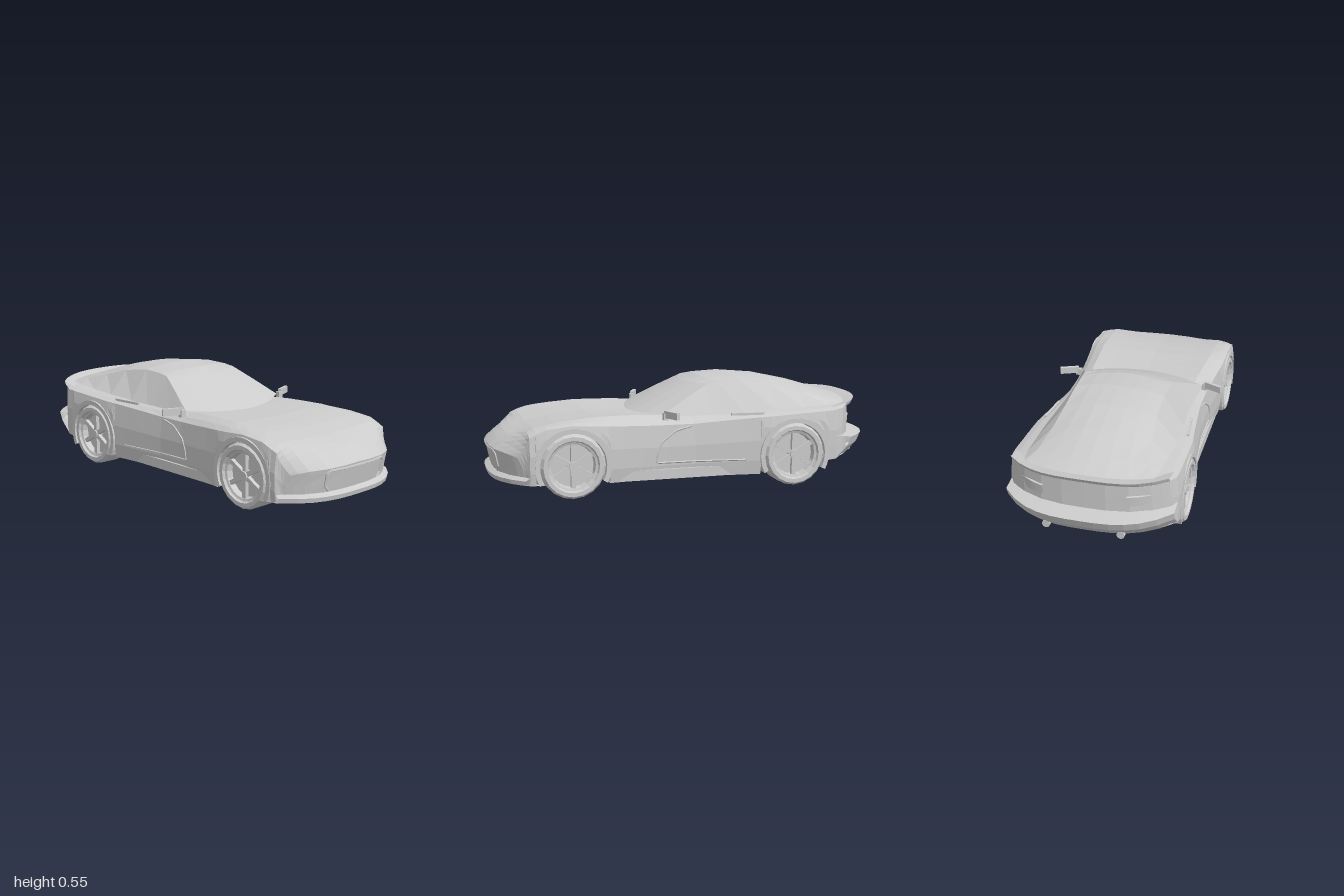
import * as THREE from 'three';

const mat = new THREE.MeshStandardMaterial({ color: 0xcccccc, flatShading: true, side: THREE.DoubleSide });
const WHEELS = [{ z: 0.62, out: 0.402 }, { z: -0.52, out: 0.417 }];
const AXLE = 0.16, ARCH = 0.18;

// Piecewise linear lookup in [key, value] pairs, keys ascending
function lookup(table, k) {
  if (k <= table[0][0]) return table[0][1];
  for (let i = 1; i < table.length; i++) {
    const [k0, v0] = table[i - 1], [k1, v1] = table[i];
    if (k <= k1) return v0 + (v1 - v0) * (k - k0) / (k1 - k0);
  }
  return table[table.length - 1][1];
}

// Body curves along the length (z, value)
const WIDTH = [[-0.92, 0.385], [-0.82, 0.405], [-0.7, 0.415], [-0.4, 0.412], [-0.2, 0.388], [0, 0.368], [0.15, 0.368],
  [0.35, 0.383], [0.5, 0.398], [0.78, 0.4], [0.88, 0.39], [0.995, 0.36]];
const CENTRE = [[-0.92, 0.4], [-0.3, 0.37], [0.27, 0.37], [0.5, 0.372], [0.65, 0.36], [0.8, 0.33], [0.9, 0.3], [0.96, 0.265], [0.995, 0.235]];
const RIDGE = [[-0.92, 0.405], [-0.7, 0.395], [-0.2, 0.375], [0.15, 0.375], [0.3, 0.385], [0.5, 0.385], [0.68, 0.37], [0.8, 0.345], [0.9, 0.295], [0.995, 0.225]];
const SHOULDER = [[-0.92, 0.385], [-0.7, 0.375], [-0.3, 0.355], [0, 0.335], [0.2, 0.335], [0.45, 0.347], [0.62, 0.358], [0.75, 0.345], [0.85, 0.3], [0.995, 0.21]];
const FLOOR = [[-0.92, 0.14], [-0.7, 0.12], [-0.34, 0.066], [0.44, 0.066], [0.8, 0.075], [0.995, 0.08]];
const FRACS = [1, 0.92, 0.8, 0.55, 0.27, 0, -0.27, -0.55, -0.8, -0.92, -1];

// Rounds nose and tail in plan and leans the nose face back
function warp(x, y, z) {
  let w = z;
  if (z > 0.83) w -= (z - 0.83) * Math.pow(Math.abs(x) / 0.4, 3);
  if (z > 0.9) w -= Math.max(0, 0.23 - y) * 0.2 * (z - 0.9) / 0.095;
  if (z < -0.75) w += (-0.75 - z) * 0.9 * Math.pow(Math.abs(x) / 0.41, 3);
  return [x, y, w];
}

function sideX(z, y) {
  const sh = lookup(SHOULDER, z);
  return lookup(WIDTH, z) - lookup([[0.065, 0.012], [0.13, 0.002], [0.2, 0], [sh - 0.06, 0], [sh, 0.012]], y);
}

function inArch(z) {
  return WHEELS.find(w => Math.abs(z - w.z) < ARCH + 0.0005);
}

function sideRows(z) {
  const w = inArch(z), sh = lookup(SHOULDER, z);
  const low = w ? AXLE + Math.sqrt(Math.max(0, ARCH ** 2 - (z - w.z) ** 2)) : lookup(FLOOR, z);
  return [0, 0.25, 0.6, 1].map(t => { const y = low + (sh - low) * t; return [sideX(z, y), y]; });
}

function topRow(z) {
  const sh = lookup(SHOULDER, z), c = lookup(CENTRE, z), r = lookup(RIDGE, z), x = sideX(z, sh);
  return FRACS.map(f => [f * x, lookup([[0, c], [0.5, c + (r - c) * 0.4], [0.85, r], [1, sh]], Math.abs(f))]);
}

function section(z) {
  const side = sideRows(z).slice(0, 3);
  return [...side, ...topRow(z), ...side.reverse().map(([x, y]) => [-x, y])].map(([x, y]) => warp(x, y, z));
}

// Surface through rows of points
function grid(rows, name) {
  const n = rows[0].length, index = [];
  for (let i = 0; i < rows.length - 1; i++) for (let j = 0; j < n - 1; j++) {
    const a = i * n + j, b = a + 1, d = a + n, c = d + 1;
    index.push(a, b, c, a, c, d);
  }
  const g = new THREE.BufferGeometry();
  g.setAttribute('position', new THREE.Float32BufferAttribute(rows.flat(2), 3));
  g.setIndex(index);
  g.computeVertexNormals();
  return mesh(g, name);
}

function mesh(geometry, name, pos = [0, 0, 0]) {
  const m = new THREE.Mesh(geometry, mat);
  m.name = name;
  m.position.set(...pos);
  return m;
}

// Profile of [z, y] points swept across the car along the rounded nose or tail
function band(name, profile, x0, x1, droop = 0) {
  const rows = [];
  for (let i = 0; i <= 12; i++) {
    const x = x0 + (x1 - x0) * i / 12, k = Math.abs(x) / 0.41;
    rows.push([...profile, profile[0]].map(([z, y]) => [x, y - droop * k * k, z - Math.sign(z) * 0.17 * k ** 3]));
  }
  return grid(rows, name);
}

function tube(points, radius, name) {
  const path = new THREE.CurvePath();
  for (let i = 1; i < points.length; i++) path.add(new THREE.LineCurve3(new THREE.Vector3(...points[i - 1]), new THREE.Vector3(...points[i])));
  return mesh(new THREE.TubeGeometry(path, points.length * 8, radius, 5), name);
}

function wheel() {
  const g = new THREE.Group();
  const profile = [[0, -0.07], [0.145, -0.07], [0.16, -0.055], [0.16, 0.052], [0.148, 0.068], [0.128, 0.068],
    [0.122, 0.056], [0.11, 0.052], [0.106, 0.02], [0, 0.02]].map(p => new THREE.Vector2(...p));
  g.add(mesh(new THREE.LatheGeometry(profile, 20), 'tyreAndRim'));
  g.add(mesh(new THREE.CylinderGeometry(0.022, 0.028, 0.04, 10), 'hub', [0, 0.035, 0]));
  for (let i = 0; i < 6; i++) {
    const a = i * Math.PI / 3;
    const s = mesh(new THREE.BoxGeometry(0.1, 0.02, 0.022), 'spoke', [0.06 * Math.cos(a), 0.038, -0.06 * Math.sin(a)]);
    s.rotation.y = a;
    g.add(s);
  }
  g.rotation.z = -Math.PI / 2;
  const holder = new THREE.Group();
  holder.add(g);
  return holder;
}

export function createModel() {
  const car = new THREE.Group();
  car.name = 'sportsCar';

  // Body shell, with stations packed around the wheel arches
  const zs = [-0.91, -0.86, -0.8, -0.75, -0.25, -0.12, 0, 0.15, 0.27, 0.36, 0.83, 0.87, 0.91, 0.95, 0.98, 0.995];
  for (const w of WHEELS) {
    zs.push(w.z - ARCH - 0.002, w.z + ARCH + 0.002);
    for (let i = 0; i <= 8; i++) zs.push(w.z + ARCH * Math.cos(i * Math.PI / 8));
  }
  zs.sort((a, b) => a - b);
  car.add(grid(zs.map(section), 'body'));
  const cap = z => [...sideRows(z).map(([x, y]) => FRACS.map(f => warp(f * x, y, z))), topRow(z).map(([x, y]) => warp(x, y, z))];
  car.add(grid(cap(zs[zs.length - 1]).reverse(), 'noseFace'), grid(cap(zs[0]), 'tailFace'));
  car.add(grid(zs.map(z => {
    const y = lookup(FLOOR, z), x = inArch(z) ? 0.27 : sideX(z, y);
    return FRACS.map(f => warp(f * x, y, z));
  }).reverse(), 'floor'));

  // Cabin: centre z, centre y, roof edge x y z, base x y z
  const cabin = [
    [0.27, 0.37, 0.325, 0.385, 0.15, 0.335, 0.37, 0.15],
    [0.12, 0.443, 0.28, 0.452, 0.025, 0.325, 0.37, 0.025],
    [-0.03, 0.512, 0.236, 0.515, -0.1, 0.32, 0.37, -0.1],
    [-0.11, 0.54, 0.23, 0.524, -0.16, 0.32, 0.37, -0.16],
    [-0.27, 0.551, 0.226, 0.528, -0.28, 0.328, 0.372, -0.28],
    [-0.45, 0.535, 0.23, 0.503, -0.45, 0.335, 0.38, -0.45],
    [-0.62, 0.498, 0.245, 0.462, -0.6, 0.335, 0.385, -0.6],
    [-0.78, 0.45, 0.27, 0.425, -0.75, 0.335, 0.39, -0.74],
    [-0.91, 0.41, 0.31, 0.4, -0.84, 0.335, 0.39, -0.82]];
  car.add(grid(cabin.map(([cz, cy, ex, ey, ez, bx, by, bz]) => {
    const roof = f => [ex * f, cy + (ey - cy) * f * f, cz + (ez - cz) * f * f];
    const half = [[bx, by, bz], roof(1), roof(0.66), roof(0.33)];
    return [...half, roof(0), ...half.slice().reverse().map(([x, y, z]) => [-x, y, z])];
  }).reverse(), 'cabin'));

  // Nose and tail trim
  car.add(band('frontSplitter', [[0.92, 0.118], [0.975, 0.116], [1, 0.102], [0.995, 0.08], [0.9, 0.075]], -0.39, 0.39));
  car.add(band('rearBumper', [[-0.86, 0.25], [-0.91, 0.248], [-1, 0.235], [-0.98, 0.19], [-0.92, 0.132], [-0.84, 0.13]], -0.408, 0.408));
  car.add(band('tailLip', [[-0.86, 0.406], [-0.953, 0.428], [-0.942, 0.408], [-0.9, 0.38]], -0.38, 0.38, 0.02));
  const half = [[0.175, 0.12], [0.198, 0.145], [0.198, 0.205], [0.185, 0.22], [0.1, 0.22], [0, 0.22]];
  const frame = [...half, ...half.slice(0, -1).reverse().map(([x, y]) => [-x, y])].map(([x, y]) => {
    const p = warp(x, y, 0.995);
    return [p[0], p[1], p[2] + 0.001];
  });
  car.add(tube(frame, 0.006, 'grilleFrame'));

  for (const s of [1, -1]) {
    const lights = [[-0.9, 0.335], [-0.922, 0.33], [-0.918, 0.28], [-0.9, 0.275]];
    car.add(band('tailLight', lights, s * 0.2, s * 0.36));
    const pipe = mesh(new THREE.CylinderGeometry(0.02, 0.02, 0.1, 8), 'exhaust', [s * 0.18, 0.138, -0.88]);
    pipe.rotation.x = Math.PI / 2;
    car.add(pipe);

    // Side trim: fender vent line, sill, handle
    const vent = [[0.02, 0.325], [0.1, 0.305], [0.17, 0.255], [0.195, 0.2], [0.2, 0.15], [0, 0.147], [-0.26, 0.145]];
    car.add(tube(vent.map(([z, y]) => [s * sideX(z, y), y, z]), 0.005, 'fenderVent'));
    car.add(mesh(new THREE.BoxGeometry(0.04, 0.05, 0.76), 'sill', [s * 0.356, 0.092, 0.055]));
    const handle = mesh(new THREE.BoxGeometry(0.012, 0.012, 0.17), 'doorHandle', [s * 0.358, 0.372, -0.28]);
    handle.rotation.y = -s * 0.1;
    car.add(handle);

    // Door mirror
    const mirror = mesh(new THREE.BoxGeometry(0.1, 0.035, 0.018), 'mirror', [s * 0.398, 0.389, 0.13]);
    mirror.rotation.y = s * 0.4;
    car.add(mirror, mesh(new THREE.BoxGeometry(0.03, 0.035, 0.022), 'mirrorFoot', [s * 0.35, 0.377, 0.15]));

    // Wheels and arch lips
    for (const w of WHEELS) {
      const wh = wheel();
      wh.name = 'wheel';
      wh.position.set(s * (w.out - 0.07), AXLE, w.z);
      if (s < 0) wh.rotation.y = Math.PI;
      car.add(wh);
      const ring = new THREE.Shape();
      ring.absarc(0, 0, 0.187, -0.48, Math.PI + 0.48, false);
      ring.absarc(0, 0, 0.163, Math.PI + 0.48, -0.48, true);
      const lip = mesh(new THREE.ExtrudeGeometry(ring, { depth: 0.09, bevelEnabled: false, curveSegments: 12 }), 'archLip', [s * (w.out - 0.092), AXLE, w.z]);
      lip.rotation.y = s * Math.PI / 2;
      car.add(lip);
    }
  }
  return car;
}
